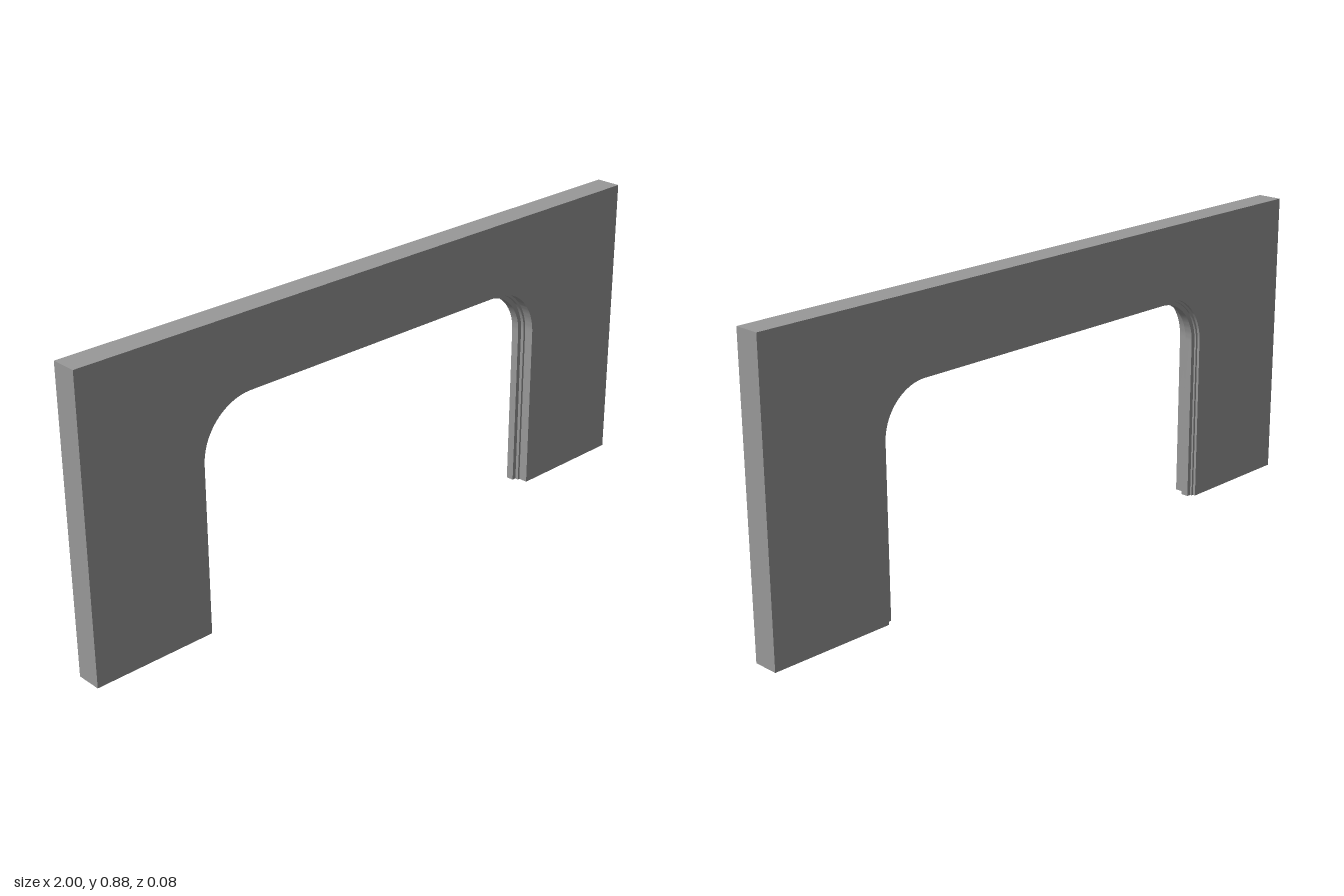
import * as THREE from 'three';
import { toCreasedNormals } from 'three/addons/utils/BufferGeometryUtils.js';

const HEIGHT = 0.876, DEPTH = 0.076;
const OPENING = { half: 0.628, top: 0.658, radius: 0.16 };

// Traces an opening with rounded upper corners, inset from the wall opening,
// from the bottom right (+x) over the top to the bottom left.
function traceOpening(path, inset) {
  const x = OPENING.half - inset, top = OPENING.top - inset, r = OPENING.radius - inset;
  path.lineTo(x, 0);
  path.lineTo(x, top - r);
  path.absarc(x - r, top - r, r, 0, Math.PI / 2, false);
  path.lineTo(-x + r, top);
  path.absarc(-x + r, top - r, r, Math.PI / 2, Math.PI, false);
  path.lineTo(-x, 0);
}

// Extrudes a shape between two depths, keeping flat edges sharp.
function slab(name, shape, zBack, zFront, material) {
  const geometry = new THREE.ExtrudeGeometry(shape, {
    depth: zFront - zBack, bevelEnabled: false, curveSegments: 16,
  });
  geometry.translate(0, 0, zBack);
  const mesh = new THREE.Mesh(toCreasedNormals(geometry, 0.5), material);
  mesh.name = name;
  return mesh;
}

// Strip lining the opening, reaching inward by the given inset.
function liningShape(inset) {
  const shape = new THREE.Shape();
  const outer = new THREE.Path();
  outer.moveTo(OPENING.half, 0);
  traceOpening(outer, 0);
  const inner = new THREE.Path();
  inner.moveTo(OPENING.half - inset, 0);
  traceOpening(inner, inset);
  shape.setFromPoints([...outer.getPoints(16), ...inner.getPoints(16).reverse()]
    .filter((p, i, all) => i === 0 || p.distanceTo(all[i - 1]) > 1e-6));
  return shape;
}

export function createModel() {
  const group = new THREE.Group();
  group.name = 'archwayWall';
  const grey = new THREE.MeshStandardMaterial({ color: 0x999999 });
  grey.name = 'grey';

  // Wall panel with the doorway cut out of its lower edge
  const wall = new THREE.Shape();
  wall.moveTo(-1, 0);
  wall.lineTo(-1, HEIGHT);
  wall.lineTo(1, HEIGHT);
  wall.lineTo(1, 0);
  traceOpening(wall, 0);
  wall.closePath();
  group.add(slab('wall', wall, -DEPTH / 2, DEPTH / 2, grey));

  // Stepped frame inside the opening: a shallow lining and a projecting lip
  group.add(slab('frameLining', liningShape(0.007), -0.03, 0.01, grey));
  group.add(slab('frameLip', liningShape(0.02), -0.024, 0.0, grey));

  return group;
}
